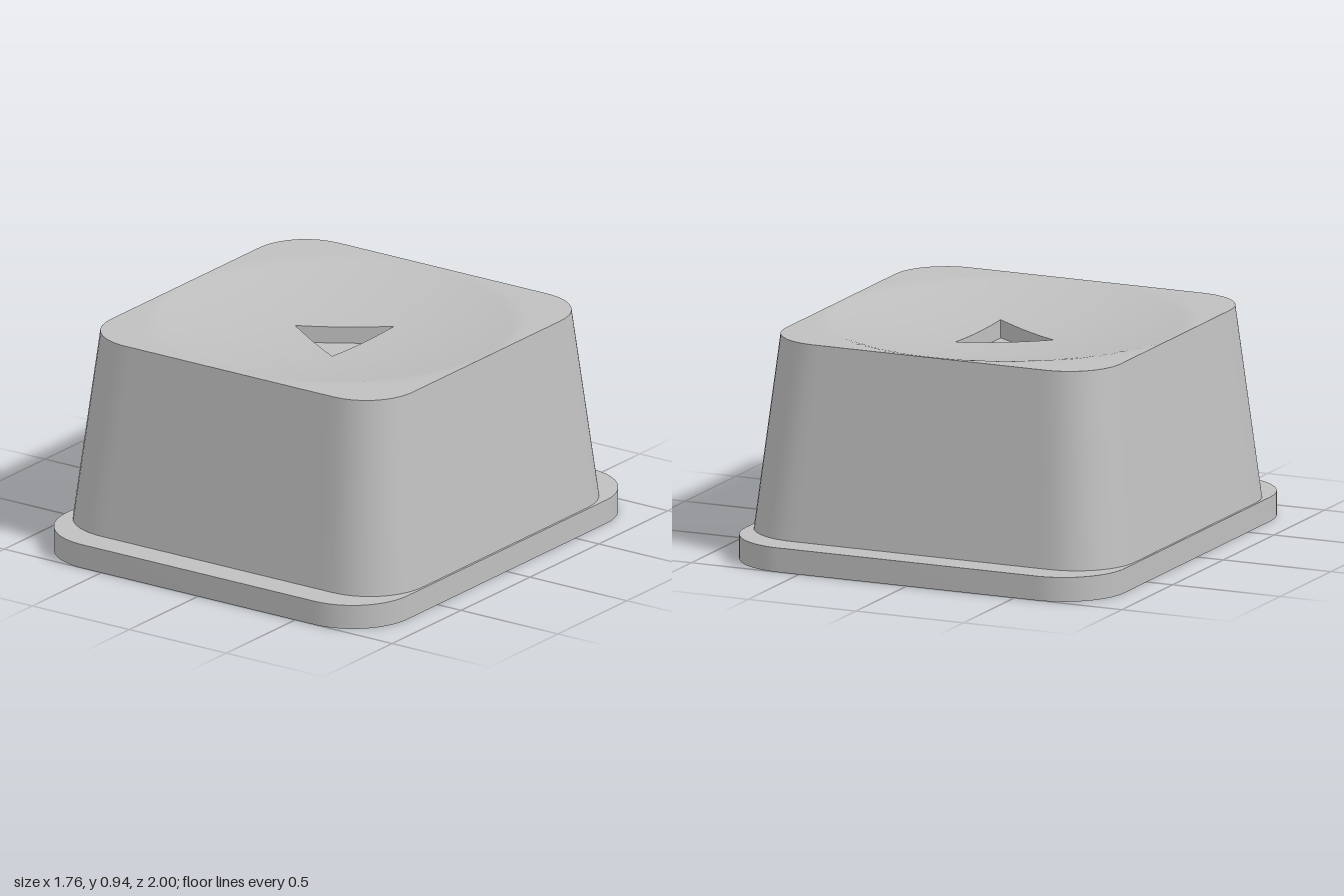
import * as THREE from 'three';
import { toCreasedNormals } from 'three/addons/utils/BufferGeometryUtils.js';

const PLATE = 0.105, TOP = 0.94, DISH_R = 0.77, DISH_DEPTH = 0.075;
const RECESS = 0.435, HOLE_R = 0.272, HOLE_TOP = 0.295, ARROW_FLOOR = 0.795;
const ARROW = [[-0.21, 0], [0.14, -0.225], [0.14, 0.225]];

// Rounded rectangle outline, as a Shape or a Path
function roundedRect(Type, w, h, r) {
  const p = new Type();
  p.absarc(w - r, h - r, r, 0, Math.PI / 2);
  p.absarc(r - w, h - r, r, Math.PI / 2, Math.PI);
  p.absarc(r - w, r - h, r, Math.PI, Math.PI * 1.5);
  p.absarc(w - r, r - h, r, Math.PI * 1.5, Math.PI * 2);
  p.closePath();
  return p;
}

// Distance from the centre to a rounded square along an angle
function squareRadius(angle, half, r) {
  const c = Math.abs(Math.cos(angle)), s = Math.abs(Math.sin(angle)), k = half - r;
  const t = half / Math.max(c, s);
  if (t * Math.min(c, s) <= k) return t;
  const b = k * (c + s);
  return b + Math.sqrt(b * b - 2 * k * k + r * r);
}

// Distance from the centre to the triangular arrow along an angle
function arrowRadius(angle) {
  const c = Math.cos(angle), s = Math.sin(angle);
  let best = Infinity;
  ARROW.forEach(([x0, z0], i) => {
    const [x1, z1] = ARROW[(i + 1) % 3];
    const nx = z1 - z0, nz = x0 - x1;
    const t = (nx * x0 + nz * z0) / (nx * c + nz * s);
    if (t > 0) best = Math.min(best, t);
  });
  return best;
}

// Even angles plus the exact arrow corners
const angles = Array.from({ length: 144 }, (_, i) => -Math.PI + 0.01 + (i / 144) * Math.PI * 2);
ARROW.forEach(([x, z]) => angles.push(Math.atan2(z, x)));
angles.sort((a, b) => a - b);

const ring = (radius, height) => angles.map((a) => {
  const r = radius(a);
  return [r * Math.cos(a), height(r), r * Math.sin(a)];
});

// Skin joining successive closed rings
function loft(rings) {
  const n = angles.length, index = [];
  for (let k = 0; k < rings.length - 1; k++) {
    for (let i = 0; i < n; i++) {
      const j = (i + 1) % n, a = k * n, b = a + n;
      index.push(a + i, b + i, a + j, a + j, b + i, b + j);
    }
  }
  const geo = new THREE.BufferGeometry();
  geo.setAttribute('position', new THREE.Float32BufferAttribute(rings.flat(2), 3));
  geo.setIndex(index);
  geo.computeVertexNormals();
  return geo;
}

export function createModel() {
  const group = new THREE.Group();
  const grey = new THREE.MeshStandardMaterial({ color: 0xbfbfbf });
  grey.name = 'grey';
  const add = (name, geo, y = 0) => {
    const mesh = new THREE.Mesh(geo, grey);
    mesh.name = name;
    mesh.position.y = y;
    group.add(mesh);
  };

  // Base flange with a square opening underneath
  const flange = roundedRect(THREE.Shape, 0.88, 1, 0.28);
  flange.holes.push(roundedRect(THREE.Path, RECESS, RECESS, 0.04));
  const flangeGeo = new THREE.ExtrudeGeometry(flange, { depth: PLATE, bevelEnabled: false, curveSegments: 14 });
  add('baseFlange', toCreasedNormals(flangeGeo.rotateX(-Math.PI / 2), 0.5));

  // Tapered body
  const rim = (a) => squareRadius(a, 0.777, 0.235);
  const foot = (a) => squareRadius(a, 0.87, 0.27);
  add('bodySides', loft([ring(foot, () => PLATE), ring(rim, () => TOP)]));

  // Dished top, running from the rim in to the arrow cutout
  const dish = (r) => TOP - DISH_DEPTH * Math.max(0, 1 - (r / DISH_R) ** 2);
  const topRings = [];
  for (let i = 0; i <= 24; i++) {
    topRings.push(ring((a) => THREE.MathUtils.lerp(rim(a), arrowRadius(a), i / 24), dish));
  }
  add('dishedTop', loft(topRings));

  // Sunken arrow
  const arrowWall = loft([ring(arrowRadius, dish), ring(arrowRadius, () => ARROW_FLOOR)]);
  add('arrowWalls', toCreasedNormals(arrowWall, 0.5));
  const arrowShape = new THREE.Shape(ARROW.map(([x, z]) => new THREE.Vector2(x, z)));
  add('arrowFloor', new THREE.ShapeGeometry(arrowShape).rotateX(-Math.PI / 2), ARROW_FLOOR);

  // Recess ceiling with a round blind hole
  const ceiling = roundedRect(THREE.Shape, RECESS + 0.01, RECESS + 0.01, 0.04);
  ceiling.holes.push(new THREE.Path().absarc(0, 0, HOLE_R, 0, Math.PI * 2));
  add('recessCeiling', new THREE.ShapeGeometry(ceiling, 32).rotateX(Math.PI / 2), PLATE);
  add('holeWall', loft([ring(() => HOLE_R, () => HOLE_TOP), ring(() => HOLE_R, () => PLATE)]));
  add('holeEnd', new THREE.CircleGeometry(HOLE_R, 64).rotateX(Math.PI / 2), HOLE_TOP);

  return group;
}
